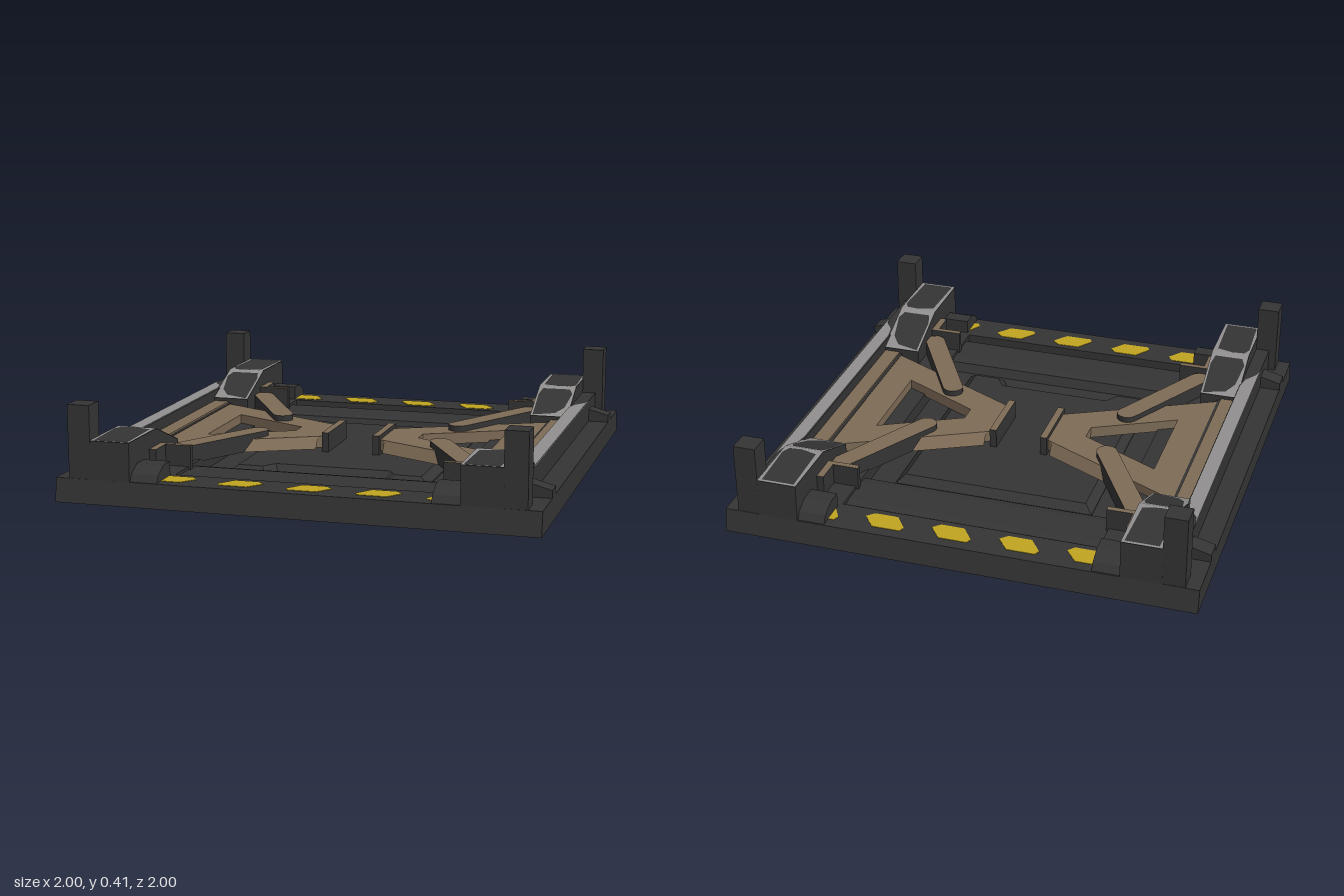
import * as THREE from 'three';

const mat = (name, color) => {
  const m = new THREE.MeshStandardMaterial({ color, side: THREE.DoubleSide, flatShading: true });
  m.name = name;
  return m;
};

export function createModel() {
  const dark = mat('charcoal', 0x343434);
  const brown = mat('bronze', 0x7d6b56);
  const grey = mat('wornGrey', 0x918f8e);
  const yellow = mat('hazardYellow', 0xc0a420);
  const root = new THREE.Group();
  root.name = 'platform';

  const add = (parent, name, geo, material) => {
    const m = new THREE.Mesh(geo, material);
    m.name = name;
    parent.add(m);
    return m;
  };
  const shapeOf = (pts, hole) => {
    const s = new THREE.Shape(pts.map(p => new THREE.Vector2(...p)));
    if (hole) s.holes.push(new THREE.Path(hole.map(p => new THREE.Vector2(...p))));
    return s;
  };
  // Plan outline (x, z) raised from y0 to y1
  const slab = (pts, y0, y1, hole) =>
    new THREE.ExtrudeGeometry(shapeOf(pts, hole), { depth: y1 - y0, bevelEnabled: false })
      .rotateX(Math.PI / 2).translate(0, y1, 0);
  // Side profile (z, y) swept from x0 to x1
  const sweep = (pts, x0, x1) =>
    new THREE.ExtrudeGeometry(shapeOf(pts), { depth: x1 - x0, bevelEnabled: false })
      .rotateY(-Math.PI / 2).translate(x1, 0, 0);
  // Thin plan plate whose height follows a rule in z
  const skin = (pts, hole, height) => {
    const g = new THREE.ShapeGeometry(shapeOf(pts, hole)).rotateX(Math.PI / 2);
    const p = g.attributes.position;
    for (let i = 0; i < p.count; i++) p.setY(i, height(p.getZ(i)));
    const idx = g.index.array; // turn faces upward
    for (let i = 0; i < idx.length; i += 3) [idx[i], idx[i + 1]] = [idx[i + 1], idx[i]];
    g.computeVertexNormals();
    return g;
  };
  const rect = (x0, x1, z0, z1) => [[x0, z0], [x1, z0], [x1, z1], [x0, z1]];
  const box = (x0, x1, y0, y1, z0, z1) =>
    new THREE.BoxGeometry(x1 - x0, y1 - y0, z1 - z0)
      .translate((x0 + x1) / 2, (y0 + y1) / 2, (z0 + z1) / 2);
  // Four walls between two rectangles
  const walls = (hx0, hz0, y0, hx1, hz1, y1) => {
    const v = [];
    const c = [[-1, 1], [1, 1], [1, -1], [-1, -1]];
    c.forEach(([ax, az], i) => {
      const [bx, bz] = c[(i + 1) % 4];
      const a = [ax * hx0, y0, az * hz0], b = [bx * hx0, y0, bz * hz0];
      const d = [ax * hx1, y1, az * hz1], e = [bx * hx1, y1, bz * hz1];
      v.push(...a, ...b, ...e, ...a, ...e, ...d);
    });
    const g = new THREE.BufferGeometry();
    g.setAttribute('position', new THREE.Float32BufferAttribute(v, 3));
    g.computeVertexNormals();
    return g;
  };

  // Hollow base with a sunken centre
  add(root, 'baseSkirt', walls(1, 1, 0, 1, 0.985, 0.1), dark);
  add(root, 'deck', slab(rect(-1, 1, -0.985, 0.985), 0.096, 0.1, rect(-0.55, 0.55, -0.81, 0.81)), dark);
  add(root, 'wellWalls', walls(0.55, 0.81, 0.04, 0.55, 0.81, 0.098), dark);
  add(root, 'wellFloor', box(-0.55, 0.55, 0.036, 0.04, -0.81, 0.81), dark);

  // Raised centre panel with a notch at the front
  const panel = new THREE.ExtrudeGeometry(shapeOf([
    [-0.4, -0.47], [0.4, -0.47], [0.4, 0.47], [0.29, 0.47], [0.25, 0.41],
    [-0.25, 0.41], [-0.29, 0.47], [-0.4, 0.47]]),
  { depth: 0.005, bevelThickness: 0.03, bevelSize: 0.035, bevelSegments: 1 });
  add(root, 'centrePanel', panel.rotateX(Math.PI / 2).translate(0, 0.045, 0), dark);

  // Front and back halves: covers and hazard stripes
  for (const s of [1, -1]) {
    const half = new THREE.Group();
    half.name = s > 0 ? 'frontEdge' : 'backEdge';
    half.scale.z = s;
    root.add(half);
    add(half, 'wellCover', sweep([[0.54, 0.04], [0.56, 0.08], [0.6, 0.088], [0.75, 0.088],
      [0.78, 0.08], [0.8, 0.04]], -0.55, 0.55), dark);
    for (let i = 0; i < 3; i++) {
      const x = -0.33 + i * 0.287;
      add(half, 'hazardStripe', slab([[x + 0.05, 0.84], [x + 0.15, 0.84], [x + 0.18, 0.87],
        [x + 0.13, 0.935], [x + 0.01, 0.935], [x, 0.91]], 0.094, 0.102), yellow);
    }
    add(half, 'hazardStripe', slab([[-0.57, 0.84], [-0.46, 0.84], [-0.435, 0.87],
      [-0.485, 0.935], [-0.57, 0.935]], 0.094, 0.102), yellow);
    add(half, 'hazardStripe', slab([[0.565, 0.85], [0.565, 0.935], [0.54, 0.935], [0.53, 0.91]],
      0.094, 0.102), yellow);
  }

  for (const sx of [1, -1]) {
    const side = new THREE.Group();
    side.name = sx > 0 ? 'leftSide' : 'rightSide';
    side.scale.x = sx;
    root.add(side);

    // Side rail with grey top
    add(side, 'rail', box(0.845, 0.91, 0.098, 0.198, -0.89, 0.89), dark);
    add(side, 'railTop', slab([[0.848, -0.5], [0.86, -0.57], [0.9, -0.63], [0.91, -0.68],
      [0.91, 0.68], [0.9, 0.63], [0.86, 0.57], [0.848, 0.5]], 0.197, 0.202), grey);
    add(side, 'innerStrip', box(0.775, 0.846, 0.098, 0.15, -0.45, 0.45), brown);
    add(side, 'stripGap', box(0.762, 0.776, 0.098, 0.142, -0.45, 0.45), dark);

    // Folding triangular frame with sloped flanks
    add(side, 'foldingFrame', slab([[0.13, -0.12], [0.765, -0.44], [0.765, 0.44], [0.13, 0.12]],
      0.09, 0.14, [[0.28, -0.04], [0.63, -0.22], [0.63, 0.22], [0.28, 0.04]]), brown);
    add(side, 'framePlate', slab(rect(0.1, 0.13, -0.14, 0.14), 0.075, 0.16), [brown, dark]);
    for (const sz of [1, -1]) {
      const flank = new THREE.BufferGeometry();
      const a = [0.15, 0.14, 0.13], b = [0.43, 0.14, 0.27], c = [0.43, 0.09, 0.305], d = [0.15, 0.09, 0.165];
      flank.setAttribute('position', new THREE.Float32BufferAttribute([a, d, c, a, c, b].flat(), 3));
      flank.computeVertexNormals();
      add(side, 'frameFlank', flank, brown).scale.z = sz;

      const corner = new THREE.Group();
      corner.name = sz > 0 ? 'frontCorner' : 'backCorner';
      corner.scale.z = sz;
      side.add(corner);

      // Round-ended brace
      const from = new THREE.Vector2(0.645, 0.59), to = new THREE.Vector2(0.41, 0.175);
      const ang = to.clone().sub(from).angle(), outline = [];
      for (const [p, start] of [[to, ang - Math.PI / 2], [from, ang + Math.PI / 2]])
        for (let i = 0; i <= 8; i++) {
          const t = start + i * Math.PI / 8;
          outline.push([p.x + 0.045 * Math.cos(t), p.y + 0.045 * Math.sin(t)]);
        }
      add(corner, 'brace', slab(outline, 0.09, 0.165), [brown, dark]);

      // Bracket and stop block
      add(corner, 'bracket', slab([[0.54, 0.64], [0.68, 0.64], [0.68, 0.77], [0.65, 0.77],
        [0.65, 0.665], [0.54, 0.665]], 0.08, 0.19), [brown, dark]);
      add(corner, 'stopBlock', sweep([[0.83, 0.098], [0.83, 0.16], [0.9, 0.16], [0.96, 0.13],
        [0.98, 0.098]], 0.565, 0.68), dark);

      // Corner housing, sloping down toward the middle
      add(corner, 'cornerHousing', sweep([[0.45, 0.098], [0.45, 0.165], [0.69, 0.26],
        [0.982, 0.26], [0.985, 0.098]], 0.68, 0.85), dark);
      const height = z => (z > 0.69 ? 0.262 : 0.262 - (0.69 - z) * 0.396);
      add(corner, 'housingTrim', skin(rect(0.68, 0.85, 0.69, 0.982),
        [[0.692, 0.97], [0.832, 0.97], [0.842, 0.74], [0.825, 0.705], [0.77, 0.7], [0.7, 0.72]], height), grey);
      add(corner, 'slopeTrim', skin(rect(0.68, 0.85, 0.45, 0.69),
        [[0.7, 0.665], [0.825, 0.665], [0.842, 0.63], [0.825, 0.52], [0.79, 0.475],
          [0.69, 0.455], [0.688, 0.62]], height), grey);

      // Corner post and outer clip
      add(corner, 'cornerPost', box(0.848, 0.943, 0.098, 0.405, 0.888, 0.983), dark);
      add(corner, 'outerClip', new THREE.ExtrudeGeometry(
        shapeOf([[0.905, 0.098], [1, 0.098], [1, 0.132], [0.94, 0.148], [0.905, 0.158]]),
        { depth: 0.08, bevelEnabled: false }).translate(0, 0, 0.7), dark);
    }
  }
  return root;
}
